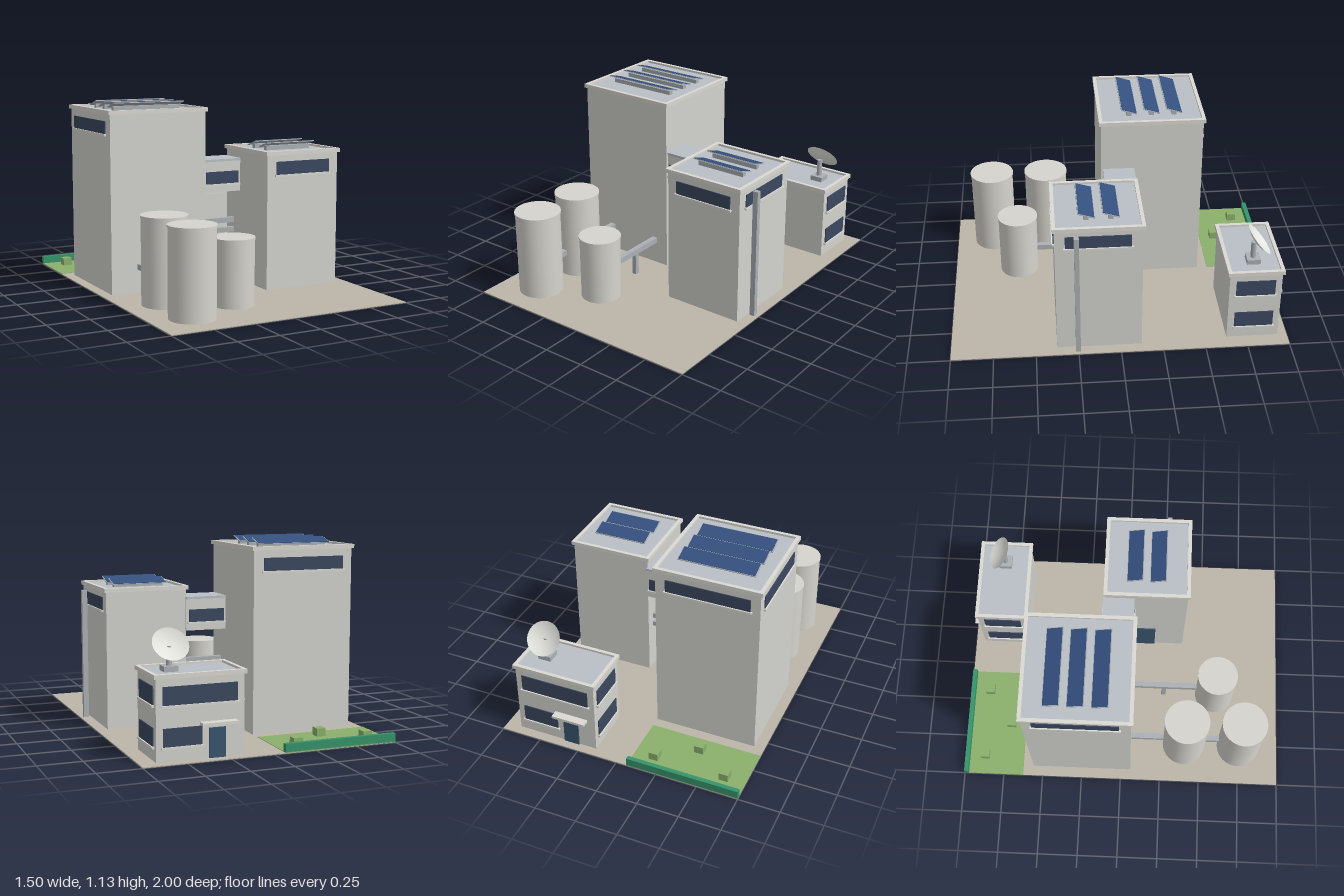
import * as THREE from 'three';

const mat = (color, side = THREE.FrontSide) => new THREE.MeshStandardMaterial({ color, side });
const M = {
  wall: mat(0xd3d4cf), trim: mat(0xdad9d3), roof: mat(0xb9bfc6), glass: mat(0x3b4860),
  metal: mat(0xacb1b5), solar: mat(0x34507f), ground: mat(0xbcb6a9), grass: mat(0x8bb06d),
  hedge: mat(0x36946b), tank: mat(0xd6d4cd), door: mat(0x3a556e), dish: mat(0xe4e4de, THREE.DoubleSide),
};

// Box given by its extents on each axis
function box(parent, name, material, [x0, x1], [y0, y1], [z0, z1]) {
  const mesh = new THREE.Mesh(new THREE.BoxGeometry(x1 - x0, y1 - y0, z1 - z0), material);
  mesh.position.set((x0 + x1) / 2, (y0 + y1) / 2, (z0 + z1) / 2);
  mesh.name = name;
  parent.add(mesh);
  return mesh;
}

function group(parent, name) {
  const g = new THREE.Group();
  g.name = name;
  parent.add(g);
  return g;
}

// Window with sill; axis and dir give the wall it sits on, a..b its span along the wall
function addWindow(parent, axis, dir, wall, [a, b], [y0, y1], sill = true) {
  const out = (d) => (dir > 0 ? [wall - 0.004, wall + d] : [wall - d, wall + 0.004]);
  const put = (name, m, span, ys, d) => (axis === 'x'
    ? box(parent, name, m, out(d), ys, span)
    : box(parent, name, m, span, ys, out(d)));
  put('window', M.glass, [a, b], [y0, y1], 0.006);
  if (sill) put('windowSill', M.trim, [a - 0.01, b + 0.01], [y0 - 0.012, y0], 0.014);
}

// Walls, flat roof and raised parapet ring
function building(parent, name, xs, zs, height, o = 0.012) {
  const g = group(parent, name);
  const rim = 0.022, [x0, x1] = xs, [z0, z1] = zs;
  box(g, 'walls', M.wall, xs, [0, height - 0.02], zs);
  box(g, 'roof', M.roof, [x0 + 0.004, x1 - 0.004], [height - 0.022, height - 0.013], [z0 + 0.004, z1 - 0.004]);
  const rect = (P, d) => new P([[x0 - d, -z1 - d], [x1 + d, -z1 - d], [x1 + d, -z0 + d], [x0 - d, -z0 + d]]
    .map(([x, y]) => new THREE.Vector2(x, y)));
  const shape = rect(THREE.Shape, o);
  shape.holes.push(rect(THREE.Path, o - rim));
  const ring = new THREE.Mesh(new THREE.ExtrudeGeometry(shape, { depth: 0.024, bevelEnabled: false }), M.trim);
  ring.rotation.x = -Math.PI / 2;
  ring.position.y = height - 0.024;
  ring.name = 'parapet';
  g.add(ring);
  return g;
}

// Row of solar panels, high edge to the front
function solarPanels(parent, [x0, x1], centres, roofY) {
  const w = x1 - x0;
  for (const z of centres) {
    const g = group(parent, 'solarPanel');
    box(g, 'panelRail', M.metal, [x0 + 0.015, x1 - 0.015], [roofY - 0.015, roofY + 0.012], [z - 0.015, z + 0.015]);
    const tilted = group(g, 'tiltedPanel');
    tilted.position.set((x0 + x1) / 2, roofY + 0.019, z);
    tilted.rotation.x = -0.3;
    box(tilted, 'panelFrame', M.metal, [-w / 2, w / 2], [-0.003, 0.002], [-0.051, 0.051]);
    box(tilted, 'panelCells', M.solar, [-w / 2 + 0.005, w / 2 - 0.005], [0.001, 0.004], [-0.047, 0.047]);
  }
}

function tank(parent, x, z, r, h) {
  const g = group(parent, 'storageTank');
  g.position.set(x, 0, z);
  const cyl = (name, rad, y0, y1) => {
    const m = new THREE.Mesh(new THREE.CylinderGeometry(rad, rad, y1 - y0, 40), M.tank);
    m.position.y = (y0 + y1) / 2;
    m.name = name;
    g.add(m);
  };
  cyl('tankBody', r - 0.004, 0, h - 0.012);
  cyl('tankLid', r, h - 0.014, h);
}

export function createModel() {
  const root = new THREE.Group();
  root.name = 'industrialSite';

  // Ground, lawn and planting
  box(root, 'ground', M.ground, [-0.75, 0.75], [0, 0.005], [-1, 1]);
  box(root, 'lawn', M.grass, [-0.75, -0.065], [0.003, 0.008], [-1, -0.625]);
  box(root, 'hedge', M.hedge, [-0.75, -0.065], [0.002, 0.054], [-1, -0.973]);
  for (const [x, z] of [[-0.625, -0.875], [-0.19, -0.875], [-0.41, -0.72]])
    box(root, 'shrub', M.grass, [x - 0.028, x + 0.028], [0.005, 0.055], [z - 0.028, z + 0.028]);

  // Tall tower
  const tall = building(root, 'tallTower', [-0.687, -0.064], [-0.56, 0.062], 1.096);
  addWindow(tall, 'x', -1, -0.687, [-0.5, -0.005], [0.955, 1.03]);
  addWindow(tall, 'z', -1, -0.56, [-0.63, -0.125], [0.955, 1.03]);
  solarPanels(tall, [-0.61, -0.145], [-0.39, -0.253, -0.115], 1.096);

  // Shorter tower with outside duct and side door
  const short = building(root, 'shortTower', [0.188, 0.683], [-0.125, 0.375], 0.843);
  addWindow(short, 'z', 1, 0.375, [0.25, 0.62], [0.702, 0.78]);
  addWindow(short, 'x', 1, 0.683, [-0.06, 0.315], [0.71, 0.785]);
  box(short, 'sideDoor', M.door, [0.18, 0.19], [0.005, 0.27], [0.06, 0.19]);
  box(short, 'duct', M.metal, [0.698, 0.73], [0.005, 0.795], [0.238, 0.266]);
  solarPanels(short, [0.265, 0.603], [0.05, 0.19], 0.846);

  // Bridge between the towers
  const bridge = group(root, 'bridge');
  box(bridge, 'bridgeBody', M.wall, [-0.066, 0.19], [0.57, 0.762], [-0.135, 0.045]);
  box(bridge, 'bridgeRoof', M.roof, [-0.066, 0.19], [0.76, 0.774], [-0.141, 0.051]);
  for (const [dir, z] of [[1, 0.045], [-1, -0.135]])
    addWindow(bridge, 'z', dir, z, [-0.052, 0.172], [0.622, 0.697]);

  // Pipe rack below the bridge
  const rack = group(root, 'pipeRack');
  box(rack, 'upperPipe', M.metal, [-0.066, 0.19], [0.36, 0.392], [-0.06, -0.03]);
  box(rack, 'lowerPipe', M.metal, [-0.066, 0.19], [0.3, 0.33], [-0.06, -0.03]);
  box(rack, 'rackPost', M.metal, [0.046, 0.074], [0.005, 0.3], [-0.06, -0.03]);

  // Storage tanks and their pipes
  tank(root, -0.503, 0.75, 0.138, 0.525);
  tank(root, -0.503, 0.4, 0.138, 0.525);
  tank(root, -0.16, 0.59, 0.125, 0.4);
  const pipes = group(root, 'tankPipes');
  for (const [x, z0, z1] of [[-0.503, 0.05, 0.3], [-0.503, 0.5, 0.65], [-0.16, 0.05, 0.5]])
    box(pipes, 'tankPipe', M.metal, [x - 0.017, x + 0.017], [0.143, 0.177], [z0, z1]);
  box(pipes, 'pipePost', M.metal, [-0.174, -0.146], [0.005, 0.145], [0.246, 0.274]);

  // Office block with two rows of windows, entrance and canopy
  const office = building(root, 'office', [0.156, 0.658], [-0.943, -0.635], 0.475);
  for (const y of [0.085, 0.308]) {
    for (const [dir, x] of [[1, 0.658], [-1, 0.156]])
      addWindow(office, 'x', dir, x, [-0.905, -0.675], [y, y + 0.1]);
    addWindow(office, 'z', -1, -0.943, [y < 0.2 ? 0.4 : 0.195, 0.62], [y, y + 0.1]);
  }
  box(office, 'entranceDoor', M.door, [0.265, 0.36], [0.005, 0.17], [-0.952, -0.94]);
  box(office, 'canopy', M.trim, [0.205, 0.412], [0.19, 0.206], [-0.992, -0.94]);

  // Dish antenna on the office roof
  const antenna = group(office, 'antenna');
  box(antenna, 'antennaBase', M.metal, [0.49, 0.57], [0.46, 0.492], [-0.827, -0.747]);
  const post = new THREE.Mesh(new THREE.CylinderGeometry(0.016, 0.016, 0.115, 16), M.metal);
  post.position.set(0.53, 0.54, -0.787);
  post.name = 'antennaPost';
  antenna.add(post);
  const profile = [];
  for (let i = 0; i <= 8; i++) profile.push(new THREE.Vector2(0.103 * i / 8, 0.026 * (i / 8) ** 2 - 0.026));
  const dish = new THREE.Mesh(new THREE.LatheGeometry(profile, 36), M.dish);
  dish.position.set(0.53, 0.612, -0.818);
  dish.rotation.x = -0.88;
  dish.name = 'antennaDish';
  antenna.add(dish);

  return root;
}
